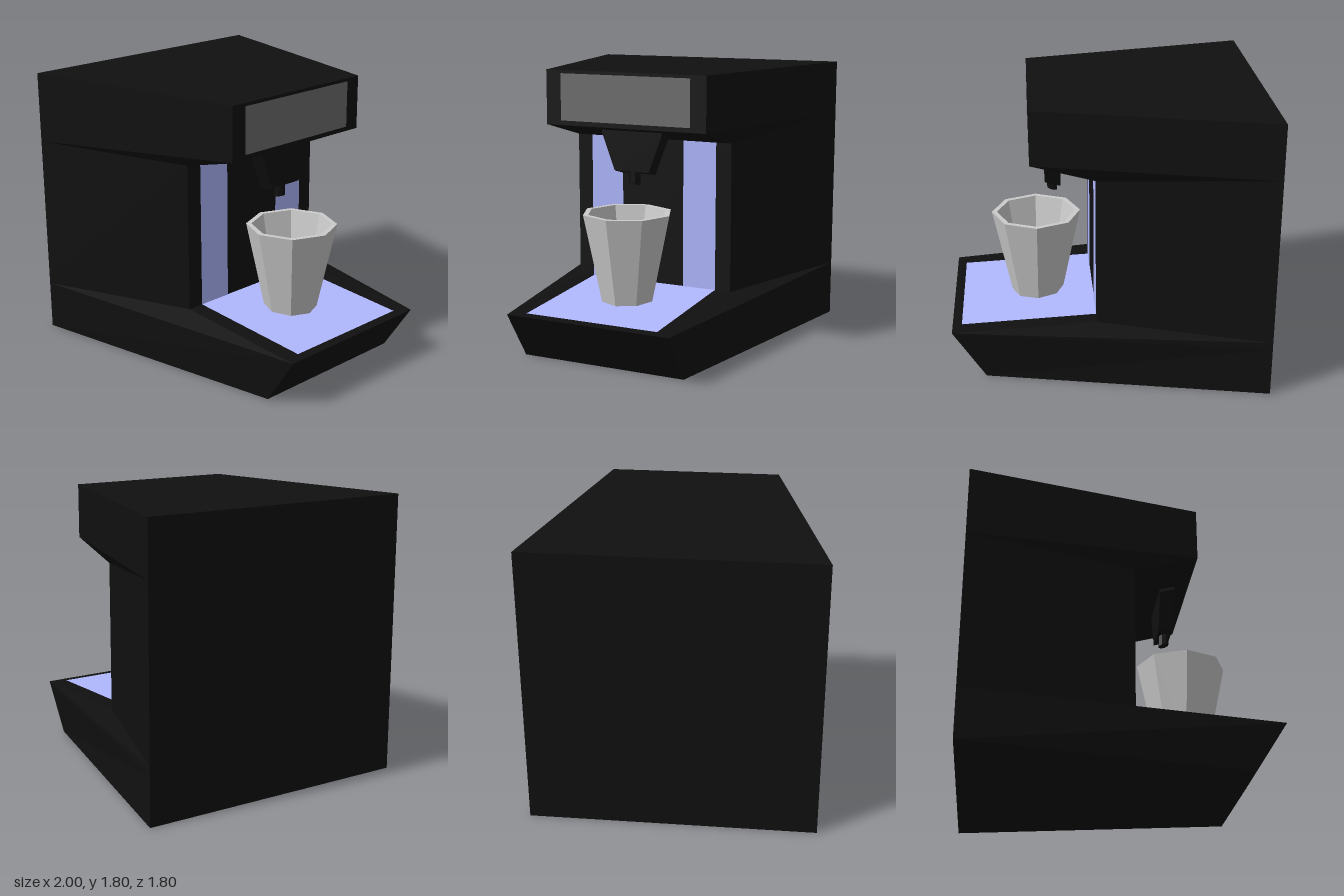
import * as THREE from 'three';

const material = (color) =>
  new THREE.MeshStandardMaterial({ color, flatShading: true, side: THREE.DoubleSide });
const black = material(0x101010);
const blue = material(0xb0b8ff);
const darkGrey = material(0x6e6e6e);
const grey = material(0xcccccc);

const SLOPE = 0.265; // tilt of the head's underside

function add(parent, name, geometry, mat) {
  const mesh = new THREE.Mesh(geometry, mat);
  mesh.name = name;
  parent.add(mesh);
  return mesh;
}

// Stack of tapered outlines: fixed wide back, narrow front at a varying x
function bodyGeometry(levels) {
  const positions = [];
  const rings = levels.map(([frontX, y]) => [
    [-1, y, 0.9], [frontX, y, 0.555], [frontX, y, -0.555], [-1, y, -0.9],
  ]);
  const quad = (a, b, c, d) => positions.push(...a, ...b, ...c, ...a, ...c, ...d);
  for (let i = 0; i < rings.length - 1; i++) {
    for (let j = 0; j < 4; j++) {
      const k = (j + 1) % 4;
      quad(rings[i][j], rings[i][k], rings[i + 1][k], rings[i + 1][j]);
    }
  }
  quad(...rings[rings.length - 1]);
  quad(...[...rings[0]].reverse());
  const geometry = new THREE.BufferGeometry();
  geometry.setAttribute('position', new THREE.Float32BufferAttribute(positions, 3));
  geometry.computeVertexNormals();
  return geometry;
}

// Thin inlay running between two (x, y) points, lifted just off the body
function panelGeometry(z, width, [x0, y0], [x1, y1]) {
  const angle = Math.atan2(x0 - x1, y1 - y0);
  return new THREE.PlaneGeometry(width, Math.hypot(x1 - x0, y1 - y0))
    .rotateY(Math.PI / 2)
    .translate(0.003, 0, 0)
    .rotateZ(angle)
    .translate((x0 + x1) / 2, (y0 + y1) / 2, z);
}

// Tilt horizontal faces to follow the head's underside
function shear(geometry, centreX) {
  const p = geometry.attributes.position;
  for (let i = 0; i < p.count; i++) p.setY(i, p.getY(i) + SLOPE * (p.getX(i) - centreX));
  geometry.computeVertexNormals();
  return geometry;
}

export function createModel() {
  const model = new THREE.Group();
  model.name = 'coffeeMachine';

  // Base, column and overhanging head
  add(model, 'body', bodyGeometry([
    [0.79, 0], [1, 0.32], [0.07, 0.367], [0.07, 1.34], [0.48, 1.45], [0.48, 1.8],
  ]), black);

  // Inlays
  add(model, 'dripTray', panelGeometry(0, 0.9, [0.94, 0.323], [0.07, 0.367]), blue);
  add(model, 'display', panelGeometry(0, 0.9, [0.48, 1.48], [0.48, 1.78]), darkGrey);
  for (const side of [-1, 1]) {
    add(model, side > 0 ? 'leftColumnPanel' : 'rightColumnPanel',
      panelGeometry(side * 0.335, 0.23, [0.07, 0.367], [0.07, 1.34]), blue);
  }

  // Spout: tapered block with a small nozzle
  const outline = new THREE.Shape([
    [-0.21, 1.44], [-0.21, 1.39], [-0.12, 1.152], [0.12, 1.152], [0.21, 1.39], [0.21, 1.44],
  ].map(([x, y]) => new THREE.Vector2(x, y)));
  const spout = new THREE.ExtrudeGeometry(outline, { depth: 0.1, bevelEnabled: false })
    .rotateY(Math.PI / 2)
    .translate(0.28, 0, 0);
  add(model, 'spout', shear(spout, 0.33), black);
  const nozzle = new THREE.CylinderGeometry(0.035, 0.035, 0.1, 8)
    .rotateY(Math.PI / 8)
    .translate(0.33, 1.128, 0);
  add(model, 'nozzle', shear(nozzle, 0.33), black);

  // Eight-sided hollow cup
  const cupProfile = [
    [0, 0.335], [0.17, 0.335], [0.292, 0.915], [0.258, 0.915], [0.16, 0.42], [0, 0.42],
  ].map(([r, y]) => new THREE.Vector2(r, y));
  const cup = add(model, 'cup', new THREE.LatheGeometry(cupProfile, 8), grey);
  cup.position.x = 0.44;

  return model;
}
